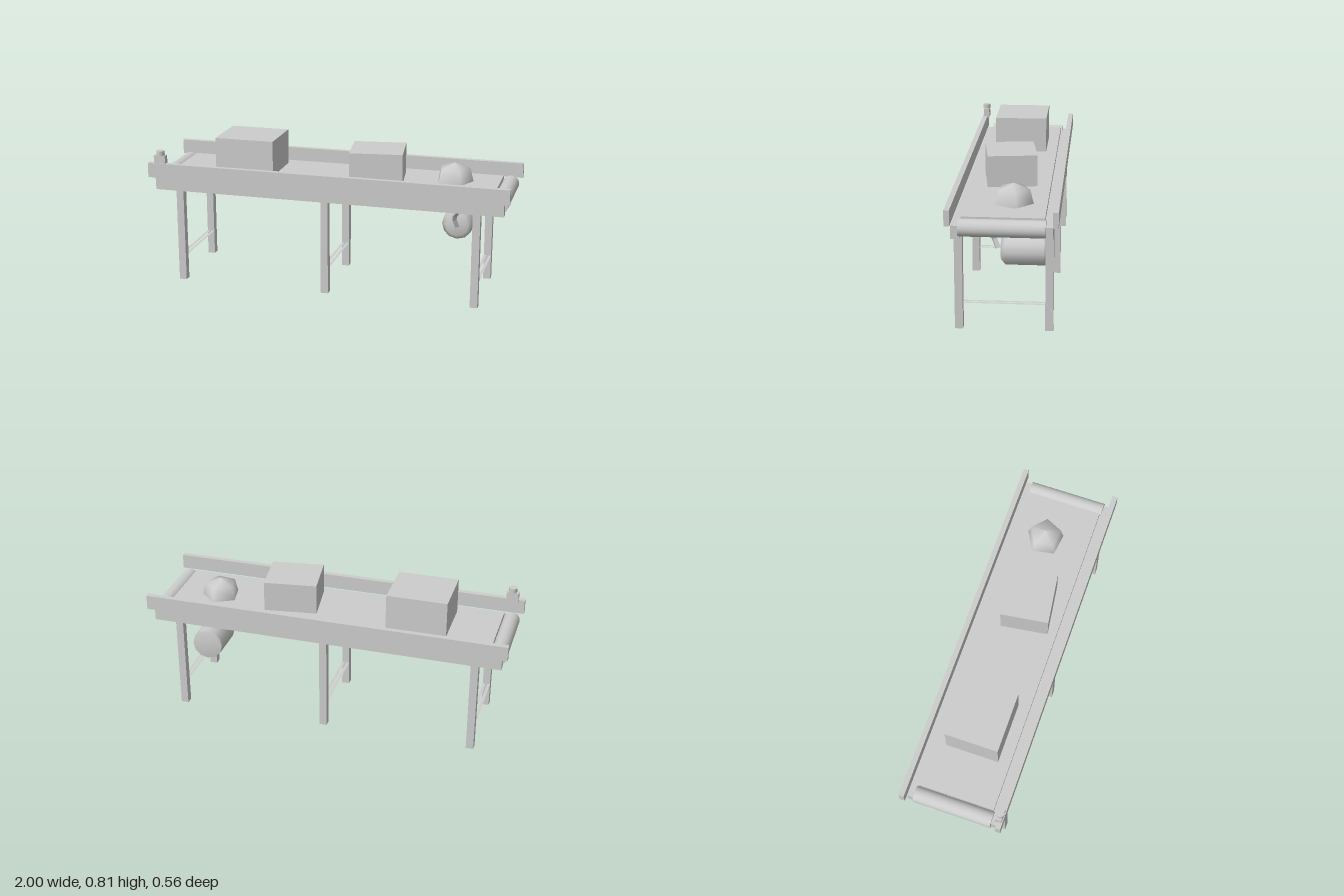
import * as THREE from 'three';

export function createModel() {
  const model = new THREE.Group();
  model.name = 'conveyor';
  const grey = new THREE.MeshStandardMaterial({ color: 0xcccccc, side: THREE.DoubleSide });
  grey.name = 'plain grey';

  const add = (name, geometry, x = 0, y = 0, z = 0) => {
    const mesh = new THREE.Mesh(geometry, grey);
    mesh.name = name;
    mesh.position.set(x, y, z);
    model.add(mesh);
    return mesh;
  };
  // Box given by its lower and upper limits on each axis
  const box = (name, x0, x1, y0, y1, z0, z1) =>
    add(name, new THREE.BoxGeometry(x1 - x0, y1 - y0, z1 - z0),
      (x0 + x1) / 2, (y0 + y1) / 2, (z0 + z1) / 2);
  // Faceted copy of a geometry
  const faceted = (geometry) => {
    const flat = geometry.toNonIndexed();
    flat.computeVertexNormals();
    return flat;
  };

  // Thin belt bed with an end roller on each side
  box('belt', -0.9, 0.9, 0.59, 0.613, -0.207, 0.207);
  for (const s of [-1, 1]) {
    const roller = add('endRoller', new THREE.CylinderGeometry(0.044, 0.044, 0.428, 24), s * 0.941, 0.571, 0);
    roller.rotation.x = Math.PI / 2;
  }

  // Side beams and guard rails
  for (const s of [-1, 1]) {
    const beam = box('sideBeam', -0.968, 0.968, 0.52, 0.588, 0.207, 0.249);
    const rail = box('guardRail', -1, 1, 0.595, 0.676, 0.249, 0.277);
    beam.position.z *= s;
    rail.position.z *= s;
  }

  // Three pairs of open-ended tube legs, joined by thin flat braces
  for (const x of [-0.828, 0, 0.826]) {
    for (const s of [-1, 1]) {
      const leg = new THREE.CylinderGeometry(0.0205 * Math.SQRT2, 0.0205 * Math.SQRT2, 0.522, 4, 1, true);
      leg.rotateY(Math.PI / 4);
      add('leg', faceted(leg), x, 0.261, s * 0.228);
      const strip = new THREE.PlaneGeometry(0.016, 0.416);
      strip.rotateX(-Math.PI / 2);
      add('legBrace', strip, x + s * 0.0125, 0.14, 0);
    }
  }

  // Drive motor under the belt, chamfered at both ends
  const motorProfile = [[0, -0.21], [0.083, -0.21], [0.085, -0.195], [0.085, 0], [0.06, 0.025], [0, 0.025]];
  const motor = new THREE.LatheGeometry(motorProfile.map(([r, y]) => new THREE.Vector2(r, y)), 12);
  motor.rotateX(Math.PI / 2);
  add('motor', motor, 0.685, 0.38, 0);

  // Square conduit bending from the frame down to the motor
  const path = new THREE.CatmullRomCurve3([
    new THREE.Vector3(0.88, 0.53, 0.1),
    new THREE.Vector3(0.78, 0.506, 0.094),
    new THREE.Vector3(0.7, 0.478, 0.083),
    new THREE.Vector3(0.677, 0.44, 0.067),
    new THREE.Vector3(0.69, 0.382, 0.042),
  ]);
  add('motorConduit', faceted(new THREE.TubeGeometry(path, 12, 0.016, 4)));

  // Push button on the front rail
  box('buttonHousing', -0.965, -0.9, 0.665, 0.72, 0.238, 0.272);
  add('buttonCap', new THREE.CylinderGeometry(0.023, 0.023, 0.026, 12), -0.931, 0.733, 0.255);

  // Cargo: two crates and a five-sided lump
  box('largeCrate', -0.65, -0.32, 0.613, 0.808, -0.146, 0.143);
  const crate = box('turnedCrate', 0.096, 0.384, 0.613, 0.78, -0.119, 0.142);
  crate.rotation.y = 0.138;
  const lumpProfile = [[0.104, 0], [0.086, 0.074], [0, 0.104]].map(([r, y]) => new THREE.Vector2(r, y));
  add('lump', new THREE.LatheGeometry(lumpProfile, 5, 0.5), 0.655, 0.613, -0.034);

  return model;
}
